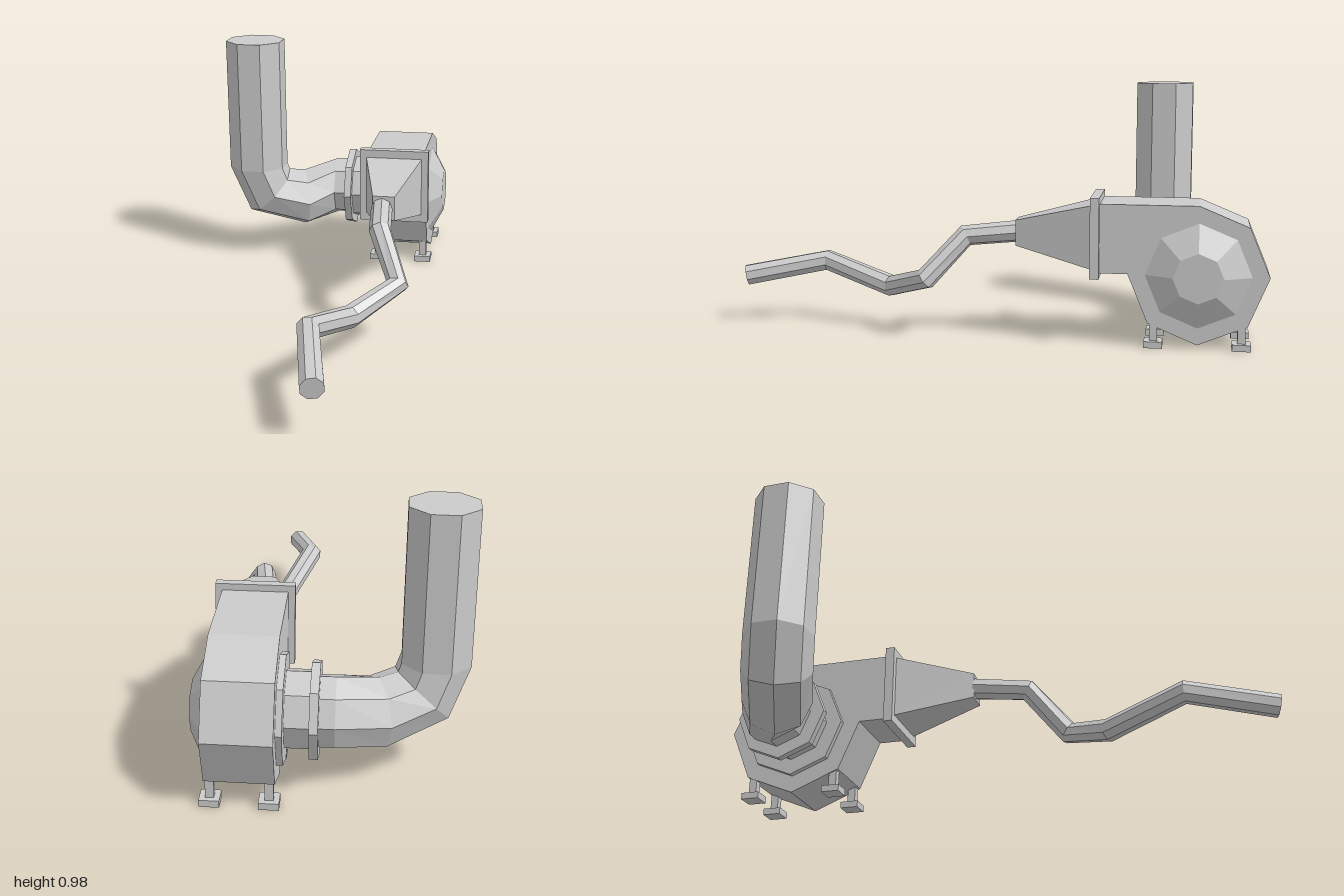
import * as THREE from 'three';

const material = new THREE.MeshStandardMaterial({ color: 0xcccccc, flatShading: true });
const V = (x, y, z) => new THREE.Vector3(x, y, z);

function add(parent, name, geometry, x = 0, y = 0, z = 0) {
  const mesh = new THREE.Mesh(geometry, material);
  mesh.name = name;
  mesh.position.set(x, y, z);
  parent.add(mesh);
  return mesh;
}

// Eight-sided disc or cone whose axis lies along x; the end radius faces +x
function sideDisc(endRadius, startRadius, length) {
  return new THREE.CylinderGeometry(endRadius, startRadius, length, 8).rotateZ(-Math.PI / 2);
}

// Eight-sided capped pipe through points; rings face the given or averaged tangents
function pipe(points, radius, tangents) {
  const sides = 8, n = points.length, pos = [], index = [];
  const dirs = tangents || points.map((p, i) => {
    const a = i > 0 ? p.clone().sub(points[i - 1]).normalize() : V(0, 0, 0);
    const b = i < n - 1 ? points[i + 1].clone().sub(p).normalize() : V(0, 0, 0);
    return a.add(b);
  });
  dirs.forEach(d => d.normalize());
  const side = Math.abs(dirs[0].x) > 0.9 ? V(0, 1, 0) : V(1, 0, 0);
  side.addScaledVector(dirs[0], -side.dot(dirs[0])).normalize();
  const turn = new THREE.Quaternion();
  for (let i = 0; i < n; i++) {
    if (i) side.applyQuaternion(turn.setFromUnitVectors(dirs[i - 1], dirs[i]));
    const up = dirs[i].clone().cross(side);
    for (let j = 0; j < sides; j++) {
      const t = j / sides * Math.PI * 2;
      const p = points[i].clone()
        .addScaledVector(side, radius * Math.cos(t))
        .addScaledVector(up, radius * Math.sin(t));
      pos.push(p.x, p.y, p.z);
    }
  }
  for (let i = 0; i < n - 1; i++) {
    for (let j = 0; j < sides; j++) {
      const a = i * sides + j, b = i * sides + (j + 1) % sides;
      index.push(a, b, b + sides, a, b + sides, a + sides);
    }
  }
  const last = (n - 1) * sides;
  for (let j = 1; j < sides - 1; j++) {
    index.push(0, j + 1, j, last, last + j, last + j + 1);
  }
  const g = new THREE.BufferGeometry();
  g.setAttribute('position', new THREE.Float32BufferAttribute(pos, 3));
  g.setIndex(index);
  g.computeVertexNormals();
  return g;
}

export function createModel() {
  const model = new THREE.Group();
  model.name = 'blower';

  // Blower unit, turned about the vertical axis
  const unit = new THREE.Group();
  unit.name = 'blowerUnit';
  unit.position.set(0.288, 0.28, -0.704);
  unit.rotation.y = -0.375;
  model.add(unit);

  // Housing: an octagon with a square outlet running forward from its top
  const R = 0.265, width = 0.24, outlet = 0.39;
  const outline = [[outlet, 0], [outlet, R], [0, R]];
  for (let i = 3; i <= 8; i++) {
    const a = i * Math.PI / 4;
    outline.push([R * Math.cos(a), R * Math.sin(a)]);
  }
  const shape = new THREE.Shape(outline.map(p => new THREE.Vector2(p[0], p[1])));
  const housing = new THREE.ExtrudeGeometry(shape, { depth: width, bevelEnabled: false });
  housing.rotateY(-Math.PI / 2).translate(width / 2, 0, 0);
  add(unit, 'housing', housing);

  // Faceted side cover
  add(unit, 'sideCover', sideDisc(0.095, 0.2, 0.056), width / 2 + 0.028);

  // Inlet rings on the other side
  add(unit, 'inletPlate', sideDisc(0.2, 0.2, 0.025), -0.13);
  add(unit, 'inletNeck', sideDisc(0.14, 0.14, 0.12), -0.19);
  add(unit, 'inletFlange', sideDisc(0.175, 0.175, 0.03), -0.243);

  // Outlet flange and tapering nozzle
  add(unit, 'outletFlange', new THREE.BoxGeometry(0.29, 0.31, 0.035), 0, 0.135, outlet);
  const nozzle = new THREE.BoxGeometry(0.24, 0.25, 0.31);
  const np = nozzle.attributes.position;
  for (let i = 0; i < np.count; i++) {
    if (np.getZ(i) > 0) np.setXY(i, np.getX(i) * 0.37, np.getY(i) * 0.4);
  }
  nozzle.computeVertexNormals();
  add(unit, 'nozzle', nozzle, 0, 0.135, 0.55);

  // Four legs with square feet
  for (const x of [-0.1, 0.1]) {
    for (const z of [-0.165, 0.165]) {
      const leg = new THREE.Group();
      leg.name = 'leg';
      leg.position.set(x, -0.28, z);
      unit.add(leg);
      add(leg, 'foot', new THREE.BoxGeometry(0.07, 0.025, 0.07), 0, 0.0125, 0);
      add(leg, 'post', new THREE.BoxGeometry(0.03, 0.09, 0.03), 0, 0.065, 0);
    }
  }

  // Upright stack bending down and across into the inlet
  add(model, 'stackPipe', pipe(
    [V(-0.37, 0.975, -0.797), V(-0.37, 0.41, -0.797), V(-0.322, 0.29, -0.797),
      V(-0.163, 0.243, -0.8), V(0, 0.28, -0.825), V(0.065, 0.28, -0.8)],
    0.128,
    [V(0, -1, 0), V(0, -1, 0), V(1, -1, 0), V(1, 0, 0), V(0.93, 0, 0.366), V(0.93, 0, 0.366)]));

  // Loose hose leading from the nozzle
  add(model, 'hose', pipe(
    [V(0.025, 0.415, -0.06), V(-0.03, 0.395, 0.145), V(0, 0.235, 0.31),
      V(-0.205, 0.17, 0.42), V(-0.4, 0.25, 0.66), V(-0.445, 0.192, 0.99)], 0.043));

  return model;
}
